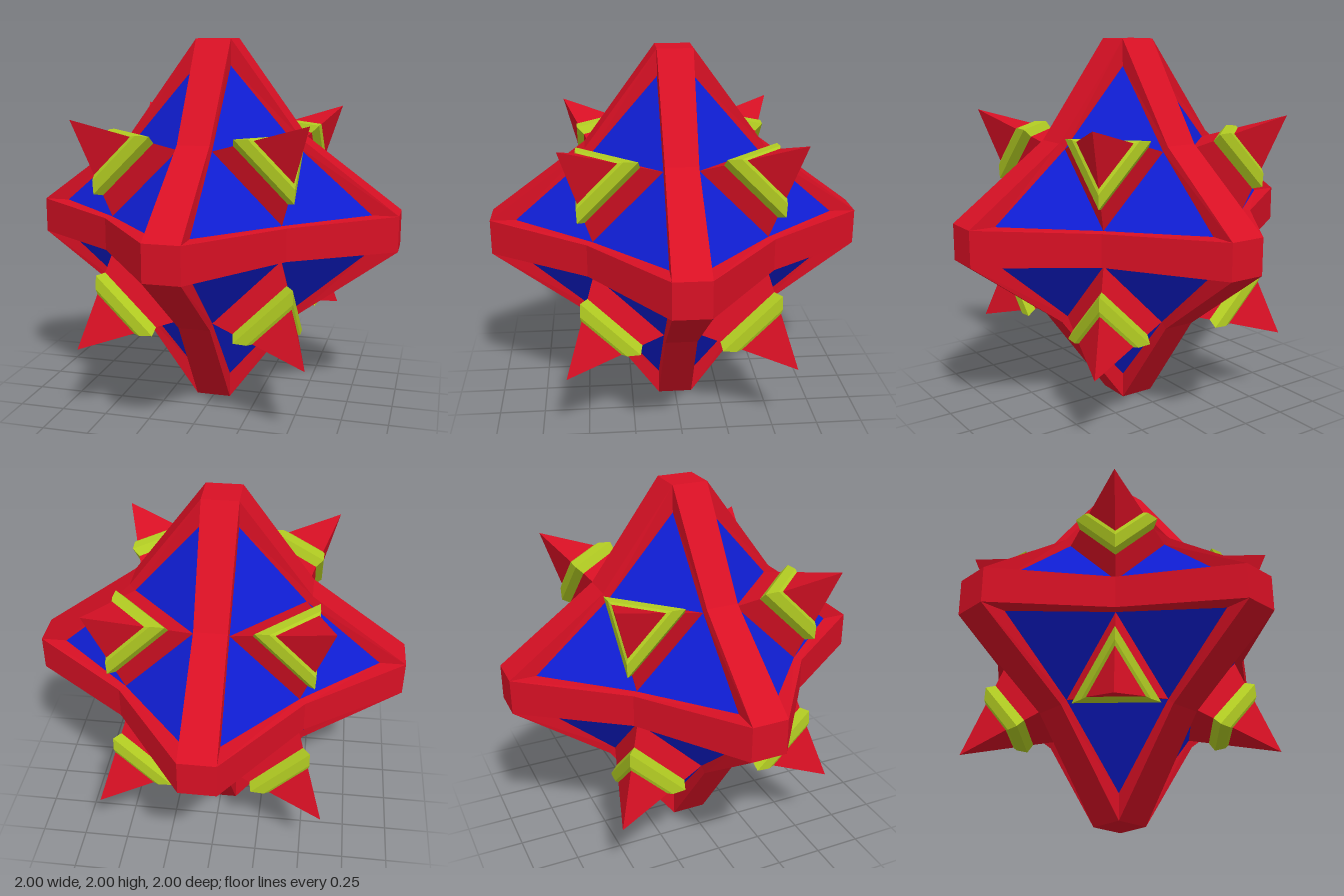
import * as THREE from 'three';

const material = (color) => new THREE.MeshStandardMaterial({ color, flatShading: true });
const W = 0.095;   // half width of a beam at its tip
const N = 0.085;   // half width of a beam at its fold
const TIP = 0.605; // spike tip, along each axis

// cyclic turn of a point about the octant diagonal
const turn = ([x, y, z], k) => (k === 0 ? [x, y, z] : k === 1 ? [z, x, y] : [y, z, x]);

// triangle corner at height d along the diagonal with spread r
const corner = (d, r, k) => turn([d - 2 * r, d + r, d + r], k % 3);

// mirrors polygons made for one octant into the given octants
function facesMesh(name, mat, polygons, octants) {
  const pos = [];
  for (const s of octants) {
    const flipped = s[0] * s[1] * s[2] < 0;
    for (const poly of polygons) {
      const pts = poly.map((p) => p.map((v, i) => v * s[i]));
      if (flipped) pts.reverse();
      for (let i = 1; i < pts.length - 1; i++) pos.push(...pts[0], ...pts[i], ...pts[i + 1]);
    }
  }
  const geo = new THREE.BufferGeometry();
  geo.setAttribute('position', new THREE.Float32BufferAttribute(pos, 3));
  geo.computeVertexNormals();
  const mesh = new THREE.Mesh(geo, mat);
  mesh.name = name;
  return mesh;
}

export function createModel() {
  const group = new THREE.Group();
  group.name = 'spikedOctahedron';
  const red = material(0xd81024);
  const blue = material(0x0f1dd2);
  const green = material(0xb2cc22);

  const octants = [];
  for (const x of [1, -1]) for (const y of [1, -1]) for (const z of [1, -1]) octants.push([x, y, z]);

  // key points of the beam between the y and z tips
  const tipY = [W, 1, W], tipZ = [W, W, 1];
  const fold = [N, 0.48, 0.48];
  const panelY = [W, 0.86, W], panelZ = [W, W, 0.86];
  const mid = corner(0.33, 0.12, 0);
  const onPlane = ([, y, z]) => [0, y, z];

  const frame = [], panels = [], spike = [], ring = [];
  // ring cross-section: distance along the diagonal, spread
  const profile = [[0.39, 0.092], [0.421, 0.102], [0.447, 0.079], [0.452, 0.066]];

  for (let k = 0; k < 3; k++) {
    const add = (list, ...pts) => list.push(pts.map((p) => turn(p, k)));

    // half beam: outer faces, inner side walls, quarter of the tip cap
    add(frame, onPlane(tipY), onPlane(fold), fold, tipY);
    add(frame, onPlane(fold), onPlane(tipZ), tipZ, fold);
    add(frame, tipY, fold, mid, panelY);
    add(frame, fold, tipZ, panelZ, mid);
    add(frame, [0, 1, 0], [0, 1, W], tipY, [W, 1, 0]);

    // sunken panel in one corner of the octant
    add(panels, panelY, mid, corner(0.33, 0.12, 2));

    // spike side
    spike.push([corner(0.33, 0.12, k), corner(0.33, 0.12, k + 1), [TIP, TIP, TIP]]);

    // bevelled ring side
    for (let i = 0; i < profile.length - 1; i++) {
      const lo = profile[i], hi = profile[i + 1];
      ring.push([corner(...lo, k), corner(...lo, k + 1), corner(...hi, k + 1), corner(...hi, k)]);
    }
  }

  group.add(facesMesh('beamFrame', red, frame, octants));
  group.add(facesMesh('sunkenPanels', blue, panels, octants));
  for (const s of octants) {
    const horn = new THREE.Group();
    horn.name = 'ringedSpike';
    horn.add(facesMesh('spike', red, spike, [s]), facesMesh('spikeRing', green, ring, [s]));
    group.add(horn);
  }

  // lift so the lowest tip stands on the ground
  for (const child of group.children) child.position.y = 1;
  return group;
}
